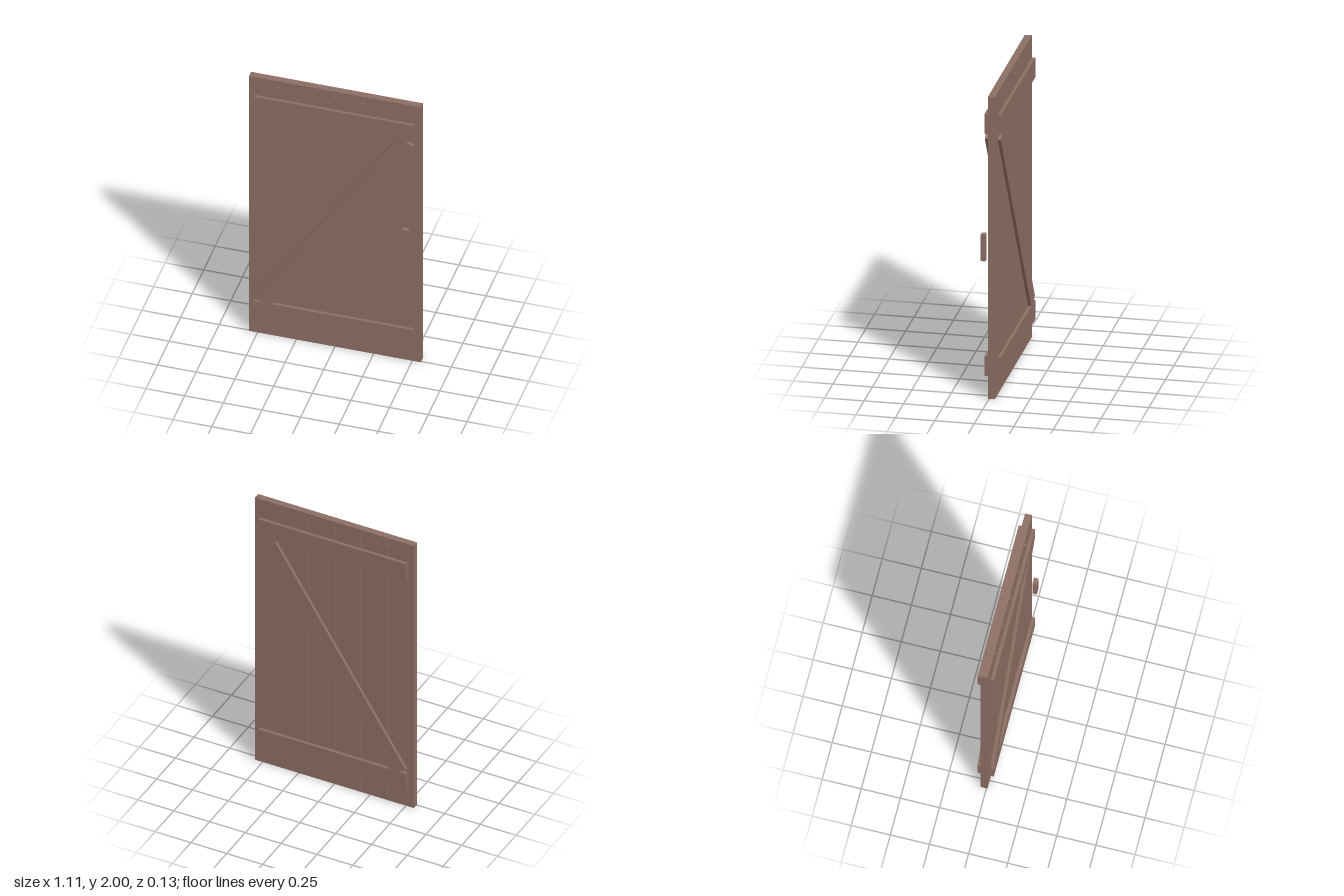
import * as THREE from 'three';

export function createModel() {
  const door = new THREE.Group();
  door.name = 'plankDoor';

  const wood = new THREE.MeshStandardMaterial({ color: 0x8d6e63 });
  wood.name = 'brown wood';

  // Box given by its size and centre
  function addBox(name, [w, h, d], [x, y, z], angle = 0) {
    const mesh = new THREE.Mesh(new THREE.BoxGeometry(w, h, d), wood);
    mesh.name = name;
    mesh.position.set(x, y, z);
    mesh.rotation.z = angle;
    door.add(mesh);
  }

  const panelZ = -0.015; // middle of the door's thickness

  addBox('panel', [1.11, 2, 0.044], [0, 1, panelZ]);

  // Rails, diagonal brace and plank strips, the same on both faces
  for (const [side, s] of [['front', 1], ['back', -1]]) {
    const railZ = panelZ + s * 0.042;
    addBox(side + 'TopRail', [1.032, 0.13, 0.021], [0, 1.803, railZ]);
    addBox(side + 'BottomRail', [1.032, 0.13, 0.021], [0, 0.2, railZ]);
    // the brace sits a hair below the rail faces, its ends tucked into them
    addBox(side + 'Brace', [1.738, 0.111, 0.02], [0, 1, railZ - s * 0.001], Math.atan2(272.5, 173));

    for (let i = -2; i <= 2; i++) {
      addBox(side + 'Strip', [0.016, 1.91, 0.011], [i * 0.185, 1.001, panelZ + s * 0.0265]);
    }
  }

  addBox('handle', [0.043, 0.175, 0.029], [0.47, 0.971, 0.0515]);

  return door;
}
